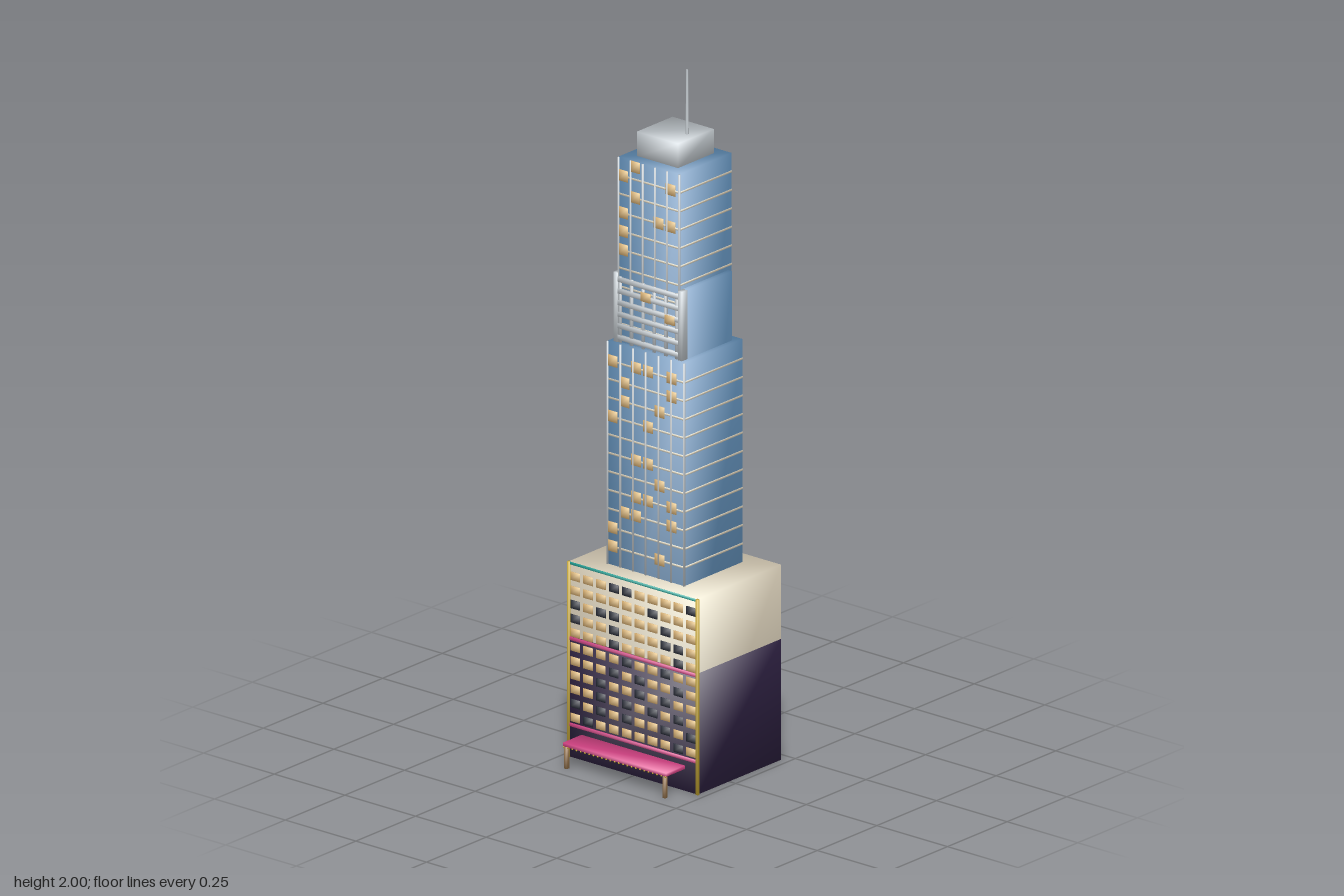
import * as THREE from 'three';

const mat = (name, color) => new THREE.MeshStandardMaterial({ name, color });

// Box given by its limits; every corner normal points along its diagonal for soft shading
function boxGeo(x0, x1, y0, y1, z0, z1) {
  const g = new THREE.BoxGeometry(x1 - x0, y1 - y0, z1 - z0);
  const p = g.attributes.position, n = g.attributes.normal, k = Math.sqrt(1 / 3);
  for (let i = 0; i < p.count; i++)
    n.setXYZ(i, Math.sign(p.getX(i)) * k, Math.sign(p.getY(i)) * k, Math.sign(p.getZ(i)) * k);
  return g.translate((x0 + x1) / 2, (y0 + y1) / 2, (z0 + z1) / 2);
}

export function createModel() {
  const M = {
    plum: mat('plum', 0x2e2142),
    cream: mat('cream', 0xe0d5be),
    glass: mat('blueGlass', 0x5e8ab2),
    pale: mat('paleMetal', 0xc6cdd2),
    pink: mat('pink', 0xe4498f),
    gold: mat('gold', 0xccac30),
    lit: mat('litWindow', 0xe8bb78),
    dark: mat('darkWindow', 0x262b38),
    teal: mat('teal', 0x22b0a4),
    bronze: mat('bronze', 0x9c784e),
  };
  const root = new THREE.Group();
  root.name = 'skyscraper';
  const group = (name) => {
    const g = new THREE.Group();
    g.name = name;
    root.add(g);
    return g;
  };
  const box = (parent, name, m, ...limits) => {
    const mesh = new THREE.Mesh(boxGeo(...limits), m);
    mesh.name = name;
    parent.add(mesh);
    return mesh;
  };
  const pane = (parent, m, x, y, z, w, h) =>
    box(parent, 'window', m, x - w / 2, x + w / 2, y - h / 2, y + h / 2, z - 0.002, z + 0.002);

  // Podium: cream block with a dark cladding around the lower floors
  const W = 0.2275, F = 0.1325, B = -0.2165, E = 0.0006;
  const podium = group('podium');
  box(podium, 'upperPodium', M.cream, -W, W, 0.002, 0.565, B, F);
  box(podium, 'lowerPodium', M.plum, -W - E, W + E, 0.001, 0.35, B - E, F + E);

  // Podium windows, from the bottom row up: 1 lit, 0 dark
  const rows = [
    '1011111101', '0101011010', '1101010101', '1101101011', '1110101101', '1111011011',
    '1110111101', '0110111001', '0100111011', '1111110111', '1110011110',
  ];
  rows.forEach((row, r) => [...row].forEach((c, i) =>
    pane(podium, c === '1' ? M.lit : M.dark, (i - 4.5) * 0.0456, 0.117 + r * 0.0408, F, 0.033, 0.024)));

  // Podium trim
  for (const s of [-1, 1])
    box(podium, 'cornerTrim', M.gold, s * W - 0.004, s * W + 0.004, 0, 0.565, F - 0.003, F + 0.004);
  box(podium, 'roofTrim', M.teal, -W, W, 0.557, 0.5645, F - 0.001, F + 0.0015);
  for (const y of [0.095, 0.344])
    box(podium, 'pinkTrim', M.pink, -W, W, y - 0.005, y + 0.005, F - 0.001, F + 0.003);

  // Entrance canopy on two posts with a row of bulbs
  const canopy = group('canopy');
  box(canopy, 'canopyRoof', M.pink, -0.183, 0.183, 0.064, 0.074, F, 0.212);
  for (const s of [-1, 1])
    box(canopy, 'canopyPost', M.bronze, s * 0.174 - 0.005, s * 0.174 + 0.005, 0, 0.065, 0.201, 0.211);
  const bulb = new THREE.SphereGeometry(0.003, 6, 4);
  for (let i = 0; i < 25; i++) {
    const b = new THREE.Mesh(bulb, M.gold);
    b.name = 'canopyBulb';
    b.position.set(-0.18 + i * 0.015, 0.063, 0.211);
    canopy.add(b);
  }

  // Glass shaft with floor bands, front mullions and lit windows [column, floor]
  const C = -0.0425, FLOOR = 0.0535;
  function shaft(name, hw, hd, y0, bandStart, y1, cols, shift, lit) {
    const g = group(name);
    box(g, 'glassBody', M.glass, -hw, hw, y0, y1, C - hd, C + hd);
    for (let y = bandStart + FLOOR; y < y1 - 0.01; y += FLOOR)
      box(g, 'floorBand', M.cream, -hw - 0.001, hw + 0.001, y - 0.003, y + 0.003,
        C - hd - 0.001, C + hd + 0.001);
    const step = 2 * hw / cols;
    for (let i = 0; i <= cols; i++) {
      const x = -hw + i * step;
      box(g, 'mullion', M.pale, x - 0.002, x + 0.002, bandStart, y1 - 0.001, C + hd - 0.002, C + hd + 0.004);
    }
    for (const [c, f] of lit)
      pane(g, M.lit, (c - (cols - 1) / 2) * 0.0418 + shift, bandStart + 0.055 + (f - 1) * FLOOR, C + hd, 0.034, 0.032);
  }
  shaft('lowerTower', 0.135, 0.1215, 0, 0.565, 1.21, 6, -0.014, [
    [0, 1], [4, 1], [0, 2], [1, 3], [2, 3], [5, 3], [2, 4], [3, 4], [5, 4], [4, 5], [2, 6], [3, 6],
    [0, 8], [3, 8], [1, 9], [4, 9], [1, 10], [5, 10], [0, 11], [2, 11], [3, 11], [5, 11],
  ]);
  shaft('upperTower', 0.1075, 0.1085, 0.01, 1.21, 1.745, 5, -0.008, [
    [0, 5], [0, 6], [0, 7], [3, 7], [4, 7], [1, 8], [0, 9], [4, 9], [1, 9.65],
  ]);

  // Middle collar with balcony slabs and posts
  const collar = group('collar');
  box(collar, 'collarBody', M.glass, -0.121, 0.121, 0.01, 1.41, -0.137, 0.053);
  for (const s of [-1, 1])
    box(collar, 'endPanel', M.pale, s * 0.1145 - 0.007, s * 0.1145 + 0.007, 1.21, 1.41, 0.05, 0.073);
  for (let i = 0; i < 6; i++)
    box(collar, 'balconySlab', M.pale, -0.115, 0.115, 1.217 + i * 0.0335, 1.231 + i * 0.0335, 0.06, 0.072);
  for (let i = 0; i < 6; i++) {
    const x = -0.1 + i * 0.04;
    box(collar, 'balconyPost', M.pale, x - 0.004, x + 0.004, 1.21, 1.4, 0.064, 0.071);
  }
  pane(collar, M.lit, -0.008, 1.362, 0.071, 0.034, 0.026);
  pane(collar, M.lit, 0.077, 1.318, 0.071, 0.034, 0.026);

  // Crown and antenna
  box(root, 'crown', M.pale, -0.073, 0.073, 1.743, 1.815, -0.118, 0.032);
  const mast = new THREE.Mesh(new THREE.CylinderGeometry(0.003, 0.0045, 0.186, 8), M.pale);
  mast.name = 'antenna';
  mast.position.set(0.042, 1.907, -0.043);
  root.add(mast);
  return root;
}
